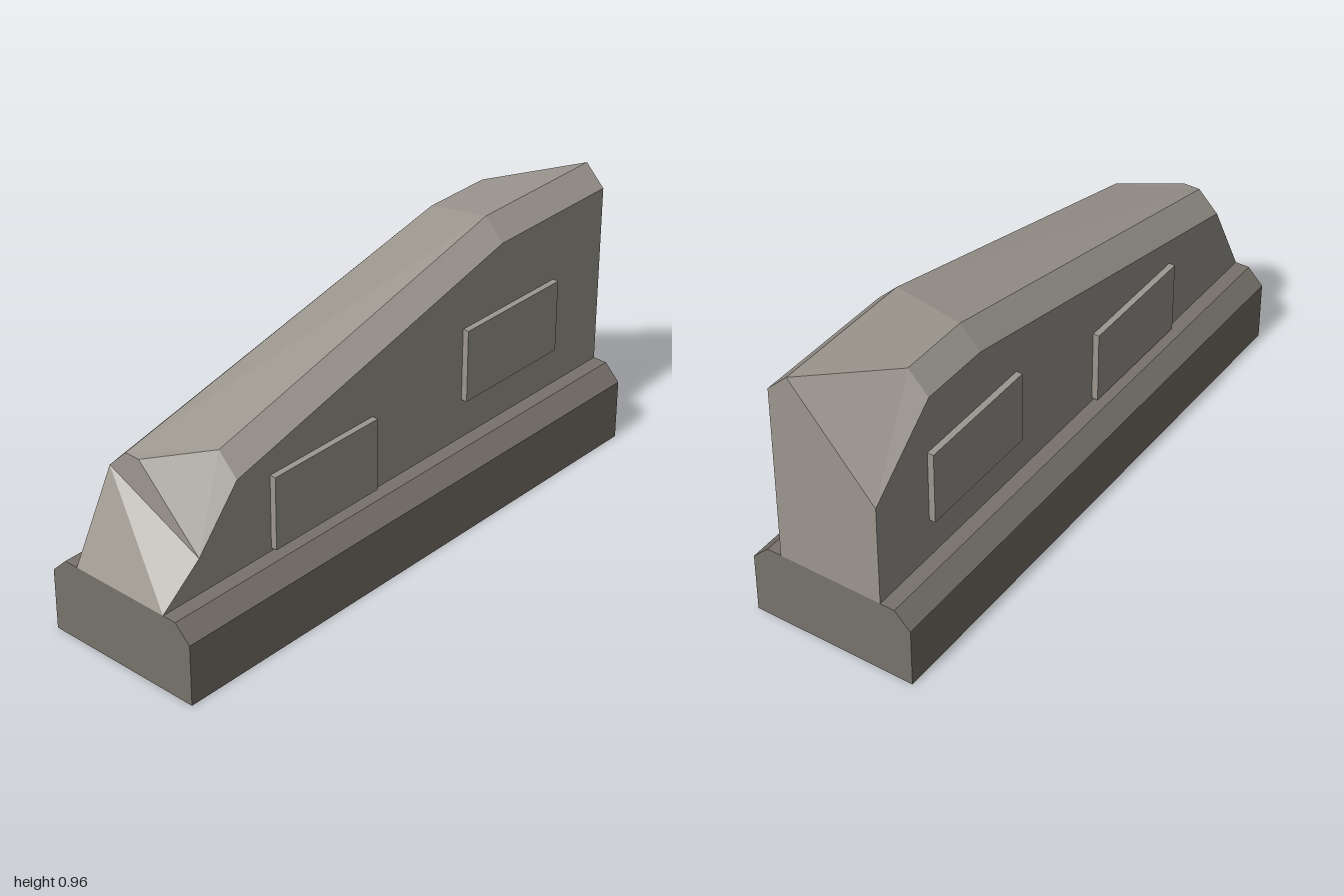
import * as THREE from 'three';

const stone = new THREE.MeshStandardMaterial({ color: 0x9c978f, side: THREE.DoubleSide });
stone.name = 'light stone';
const plinthStone = new THREE.MeshStandardMaterial({ color: 0x77726b, side: THREE.DoubleSide });
plinthStone.name = 'dark stone';

// Flat-shaded mesh from named corners; each face is a fan from its first corner.
function facetMesh(name, corners, faces, material) {
  const pos = [];
  for (const face of faces) {
    const c = face.split(' ').map((k) => corners[k]);
    for (let i = 1; i < c.length - 1; i++) pos.push(...c[0], ...c[i], ...c[i + 1]);
  }
  const geo = new THREE.BufferGeometry();
  geo.setAttribute('position', new THREE.Float32BufferAttribute(pos, 3));
  geo.computeVertexNormals();
  const mesh = new THREE.Mesh(geo, material);
  mesh.name = name;
  return mesh;
}

// Hollow plinth: walls, bevels and ledges around the wall above, open underneath.
function createPlinth() {
  const section = [[0.285, 0], [0.285, 0.21], [0.23, 0.265], [0.18, 0.265],
    [-0.18, 0.265], [-0.23, 0.265], [-0.285, 0.21], [-0.285, 0]];
  const corners = {};
  section.forEach(([z, y], i) => {
    corners['l' + i] = [-1, y, z];
    corners['r' + i] = [1, y, z];
  });
  const faces = ['r0 r7 r6 r5 r2 r1', 'l0 l1 l2 l5 l6 l7'];
  for (let i = 0; i < 7; i++) {
    if (i !== 3) faces.push(`l${i} r${i} r${i + 1} l${i + 1}`);
  }
  return facetMesh('plinth', corners, faces, plinthStone);
}

// Sloping wall with bevelled top edges and chipped ends.
function createWall() {
  const corners = {
    // foot
    footFL: [-1, 0.265, 0.18], footFR: [1, 0.265, 0.18],
    footBL: [-1, 0.265, -0.18], footBR: [1, 0.265, -0.18],
    // low end
    rampF: [-0.85, 0.385, 0.18], rampB: [-0.85, 0.55, -0.18],
    chipLow: [-0.69, 0.575, 0.18], chipTop: [-0.69, 0.648, 0.11],
    lipF: [-0.85, 0.62, -0.055], lipB: [-0.85, 0.62, -0.11],
    // knee where the slope levels off
    kneeFLow: [0.49, 0.885, 0.18], kneeF: [0.49, 0.955, 0.11],
    kneeBLow: [0.49, 0.845, -0.18], kneeB: [0.49, 0.918, -0.11],
    // high end
    endFLow: [1, 0.89, 0.18], endF: [1, 0.96, 0.11], endB: [1, 0.625, -0.18],
    cutB: [0.74, 0.92, -0.11], cutBLow: [0.74, 0.847, -0.18],
  };
  return facetMesh('wall', corners, [
    // sides
    'footFR endFLow kneeFLow chipLow rampF footFL',
    'footBL rampB kneeBLow cutBLow endB footBR',
    // high end and its cut corner
    'footFR footBR endB endF endFLow',
    'cutB endF endB cutBLow',
    // low end
    'footFL rampF rampB footBL',
    'rampF lipF lipB rampB',
    'rampF chipLow chipTop lipF',
    // front and back bevels
    'chipLow kneeFLow kneeF chipTop', 'kneeFLow endFLow endF kneeF',
    'rampB lipB kneeB kneeBLow', 'kneeBLow kneeB cutB cutBLow',
    // top
    'lipB lipF chipTop kneeF kneeB', 'kneeB kneeF endF cutB',
  ], stone);
}

export function createModel() {
  const model = new THREE.Group();
  model.name = 'barrierWall';
  model.add(createPlinth(), createWall());

  // Raised rectangular panels on both sides
  const panels = new THREE.Group();
  panels.name = 'panels';
  for (const side of [1, -1]) {
    for (const [x, y] of [[-0.332, 0.402], [0.532, 0.53]]) {
      const panel = new THREE.Mesh(new THREE.BoxGeometry(0.446, 0.252, 0.022), stone);
      panel.name = side > 0 ? 'frontPanel' : 'backPanel';
      panel.position.set(x, y, side * 0.19);
      panels.add(panel);
    }
  }
  model.add(panels);
  return model;
}
